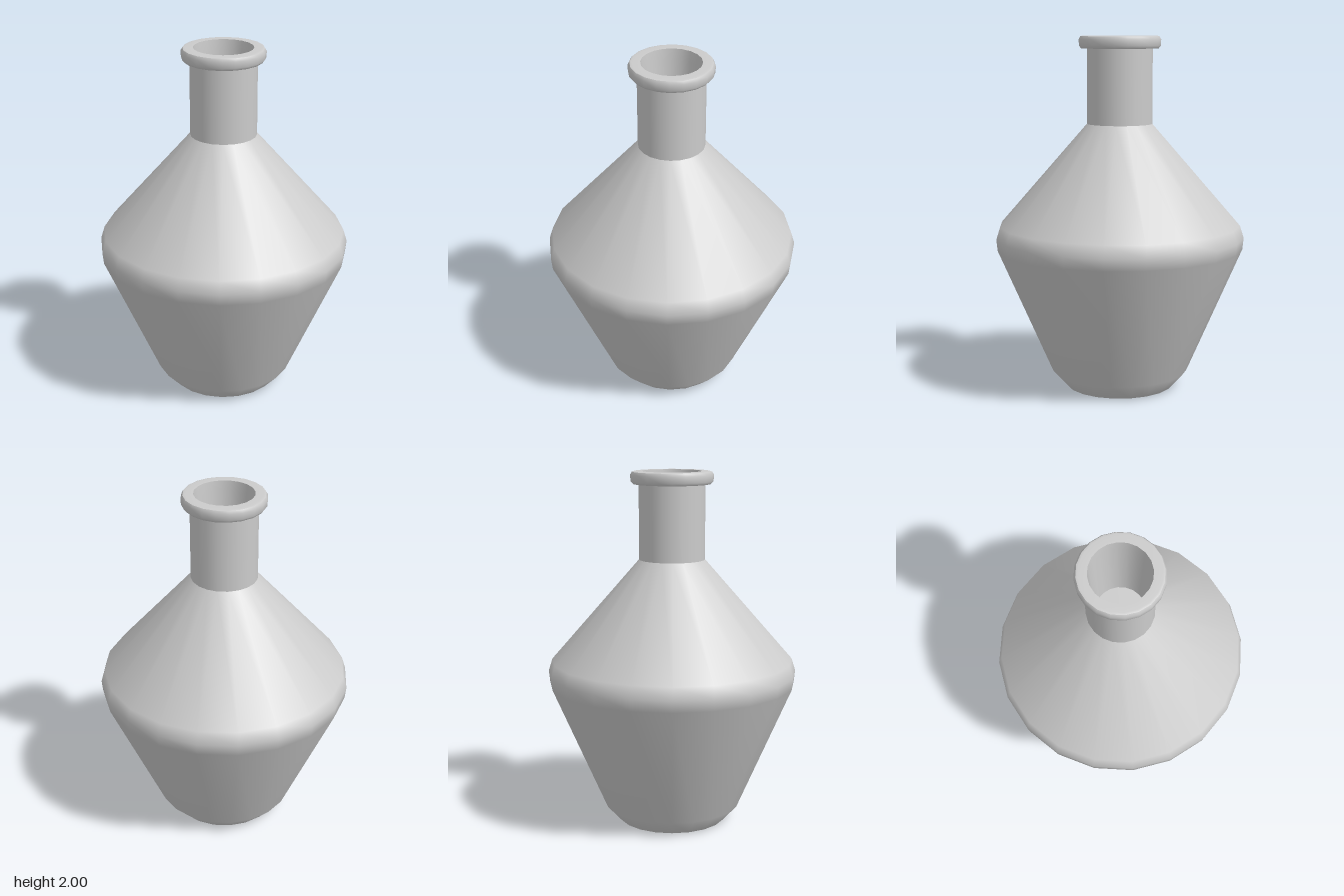
import * as THREE from 'three';

const SIDES = 20;
const material = new THREE.MeshStandardMaterial({ color: 0xcccccc });

// One smooth lathed band; separate bands meet in sharp edges
function band(name, profile) {
  const points = profile.map(([r, y]) => new THREE.Vector2(r, y));
  const mesh = new THREE.Mesh(new THREE.LatheGeometry(points, SIDES), material);
  mesh.name = name;
  return mesh;
}

export function createModel() {
  const bottle = new THREE.Group();
  bottle.name = 'bottle';

  bottle.add(
    // Flat underside
    band('base', [[0, 0], [0.305, 0]]),
    // Flared body, rounded widest point and sloping shoulder
    band('body', [[0.305, 0], [0.388, 0.09], [0.698, 0.805], [0.705, 0.87], [0.683, 0.94], [0.185, 1.51]]),
    // Straight neck
    band('neck', [[0.185, 1.51], [0.185, 1.93]]),
    // Rolled rim
    band('rimUnderside', [[0.185, 1.93], [0.218, 1.93]]),
    band('rimEdge', [[0.218, 1.93], [0.23, 1.945], [0.232, 1.98], [0.222, 1.997]]),
    band('rimTop', [[0.222, 1.997], [0.21, 2], [0.165, 2]]),
    // Tapered mouth and its floor
    band('mouthWall', [[0.165, 2], [0.16, 1.94], [0.135, 1.5]]),
    band('mouthFloor', [[0.135, 1.5], [0, 1.5]])
  );
  return bottle;
}
